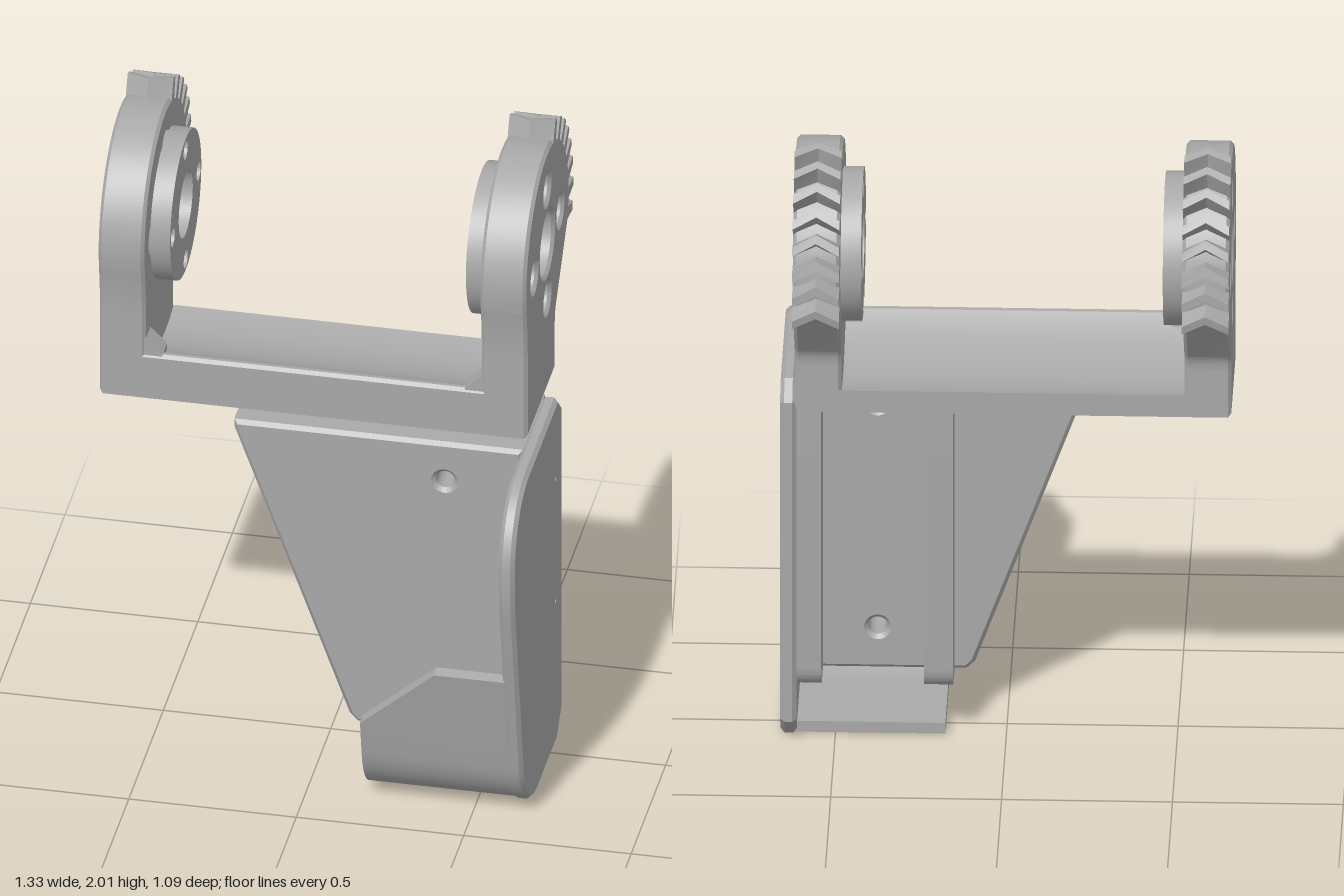
import * as THREE from 'three';
import { toCreasedNormals } from 'three/addons/utils/BufferGeometryUtils.js';

const AXIS_Z = -0.17, AXIS_Y = 1.645; // pivot shared by both arms
const grey = new THREE.MeshStandardMaterial({ color: 0xa9a9a9 });
grey.name = 'machined grey';

function addMesh(parent, name, geometry) {
  const mesh = new THREE.Mesh(toCreasedNormals(geometry, 0.45), grey);
  mesh.name = name;
  parent.add(mesh);
  return mesh;
}

function extrude(shape, depth, bevel) {
  return new THREE.ExtrudeGeometry(shape, {
    depth: depth - 2 * bevel, curveSegments: 20, bevelEnabled: bevel > 0,
    bevelThickness: bevel, bevelSize: bevel, bevelOffset: -bevel, bevelSegments: 1,
  }).translate(0, 0, bevel);
}

// Shape drawn in (z, y), extruded from x0 to x1
const extrudeX = (shape, x0, x1, bevel = 0) =>
  extrude(shape, x1 - x0, bevel).rotateY(-Math.PI / 2).translate(x1, 0, 0);

function addHole(shape, u, v, r) {
  const hole = new THREE.Path();
  hole.absarc(u, v, r, 0, Math.PI * 2, true);
  shape.holes.push(hole);
}

const polygon = (points) => new THREE.Shape(points.map(([a, b]) => new THREE.Vector2(a, b)));

function addPivotHoles(shape, screwRadius) {
  addHole(shape, AXIS_Z, AXIS_Y, 0.102);
  for (let i = 0; i < 4; i++) {
    const a = (i * Math.PI) / 2;
    addHole(shape, AXIS_Z + 0.187 * Math.cos(a), AXIS_Y + 0.187 * Math.sin(a), screwRadius);
  }
}

// Loft through equal-sized rings of corners, capped at both ends
function loft(rings) {
  const n = rings[0].length, index = [];
  for (let i = 0; i < rings.length - 1; i++) {
    for (let j = 0; j < n; j++) {
      const a = i * n + j, b = i * n + ((j + 1) % n);
      index.push(a, b, b + n, a, b + n, a + n);
    }
  }
  const last = (rings.length - 1) * n;
  for (let j = 1; j < n - 1; j++) index.push(0, j + 1, j, last, last + j, last + j + 1);
  const g = new THREE.BufferGeometry();
  g.setAttribute('position', new THREE.Float32BufferAttribute(rings.flat(2), 3));
  g.setIndex(index);
  return g;
}

// Chevron gear tooth: its middle section is turned forward around the pivot
function toothGeometry(x0, x1, angle) {
  const section = (x, shift) =>
    [[0.305, -0.062], [0.375, -0.036], [0.375, 0.036], [0.305, 0.062]].map(([r, d]) => {
      const a = angle + d - shift;
      return [x, AXIS_Y + r * Math.cos(a), AXIS_Z - r * Math.sin(a)];
    });
  return loft([section(x0, 0), section((x0 + x1) / 2, 0.1), section(x1, 0)]);
}

function createArm(name, x0, x1, inward) {
  const arm = new THREE.Group();
  arm.name = name;

  // Rounded cheek with counterbored screw holes
  const s = new THREE.Shape();
  s.moveTo(-0.285, 1.15);
  s.lineTo(0.125, 1.15);
  s.lineTo(0.125, 1.42);
  s.quadraticCurveTo(0.125, 1.5, 0.142, 1.59);
  s.absarc(AXIS_Z, AXIS_Y, 0.316, -0.14, Math.PI + 0.3, false);
  s.lineTo(-0.3, 1.355);
  s.quadraticCurveTo(-0.285, 1.335, -0.285, 1.3);
  s.closePath();
  addPivotHoles(s, 0.05);
  addMesh(arm, 'cheek', extrudeX(s, x0, x1, 0.01));

  // Inner hub with narrower screw holes
  const hub = new THREE.Shape();
  hub.absarc(AXIS_Z, AXIS_Y, 0.226, 0, Math.PI * 2, false);
  addPivotHoles(hub, 0.03);
  const [h0, h1] = inward > 0 ? [x1 - 0.01, x1 + 0.06] : [x0 - 0.06, x0 + 0.01];
  addMesh(arm, 'hub', extrudeX(hub, h0, h1));

  for (let i = 0; i < 8; i++) {
    addMesh(arm, 'gearTooth', toothGeometry(x0, x1, THREE.MathUtils.degToRad(20 + i * 12)));
  }

  // Small corner gusset down to the crossbar
  const face = inward > 0 ? x1 : x0;
  const tip = face + inward * 0.05;
  const corners = [[face - inward * 0.01, 1.28], [tip, 1.28], [tip, 1.3], [face, 1.35], [face - inward * 0.01, 1.35]];
  if (inward < 0) corners.reverse();
  addMesh(arm, 'gusset', extrude(polygon(corners), 0.07, 0).translate(0, 0, 0.05));
  return arm;
}

export function createModel() {
  const model = new THREE.Group();
  model.name = 'gearedBracket';

  model.add(createArm('rightArm', -0.665, -0.528, 1));
  model.add(createArm('leftArm', 0.475, 0.612, -1));

  // Crossbar with a scooped top concentric with the pivot
  const bar = new THREE.Shape();
  bar.moveTo(-0.285, 1.15);
  bar.lineTo(0.125, 1.15);
  bar.lineTo(0.125, 1.29);
  bar.lineTo(0.115, 1.3);
  const a0 = Math.atan2(1.3 - AXIS_Y, 0.1 - AXIS_Z), a1 = Math.atan2(1.22 - AXIS_Y, -0.285 - AXIS_Z);
  bar.absarc(AXIS_Z, AXIS_Y, 0.44, a0, a1, true);
  bar.closePath();
  addMesh(model, 'crossbar', extrudeX(bar, -0.54, 0.49));

  // Tapered front plate
  const web = polygon([[-0.25, 1.15], [-0.25, 1.125], [0.095, 0.18], [0.12, 0.155], [0.612, 0.155], [0.612, 1.15]]);
  addHole(web, 0.38, 1.02, 0.028);
  addHole(web, 0.38, 0.29, 0.028);
  addMesh(model, 'frontPlate', extrude(web, 0.155, 0.012).translate(0, 0, 0.04));

  // Two channel walls behind the plate
  const wallShape = () => {
    const w = new THREE.Shape();
    w.moveTo(0.06, 1.155);
    w.lineTo(-0.12, 1.155);
    w.lineTo(-0.12, 0.24);
    w.quadraticCurveTo(-0.12, 0.158, -0.04, 0.158);
    w.lineTo(0.06, 0.158);
    w.closePath();
    return w;
  };
  addMesh(model, 'innerWall', extrudeX(wallShape(), 0.155, 0.24));
  const outerWall = wallShape();

  // Large side guard
  const guard = new THREE.Shape();
  guard.moveTo(-0.15, 0.07);
  guard.lineTo(-0.15, 1.11);
  guard.lineTo(-0.095, 1.165);
  guard.lineTo(0.33, 1.165);
  guard.bezierCurveTo(0.46, 1.165, 0.547, 1.06, 0.547, 0.94);
  guard.quadraticCurveTo(0.55, 0.86, 0.535, 0.78);
  guard.lineTo(0.422, 0.2);
  guard.bezierCurveTo(0.4, 0.08, 0.31, 0, 0.2, 0);
  guard.lineTo(-0.08, 0);
  guard.closePath();
  for (const y of [0.49, 0.91]) {
    addHole(outerWall, -0.055, y, 0.02);
    addHole(guard, -0.055, y, 0.02);
  }
  addMesh(model, 'outerWall', extrudeX(outerWall, 0.54, 0.615));
  addMesh(model, 'sideGuard', extrudeX(guard, 0.612, 0.66, 0.012));

  // Curved lower shield, a thin sheet cut diagonally at its upper corner
  const curve = new THREE.CubicBezierCurve(
    new THREE.Vector2(0.2, 0.004), new THREE.Vector2(0.305, 0.004),
    new THREE.Vector2(0.396, 0.08), new THREE.Vector2(0.418, 0.2));
  const path = [new THREE.Vector2(-0.08, 0.004), ...curve.getPoints(14),
    new THREE.Vector2(0.44, 0.31), new THREE.Vector2(0.483, 0.53)];
  const rings = path.map((p, i) => {
    const t = path[Math.min(i + 1, path.length - 1)].clone().sub(path[Math.max(i - 1, 0)]).normalize();
    const z = p.x - t.y * 0.035, y = p.y + t.x * 0.035;
    const left = 0.178 + Math.max(0, (p.y - 0.31) / 0.22) * 0.23;
    return [[left, p.y, p.x], [left, y, z], [0.62, y, z], [0.62, p.y, p.x]];
  });
  addMesh(model, 'lowerShield', loft(rings)).material.side = THREE.DoubleSide;

  return model;
}
